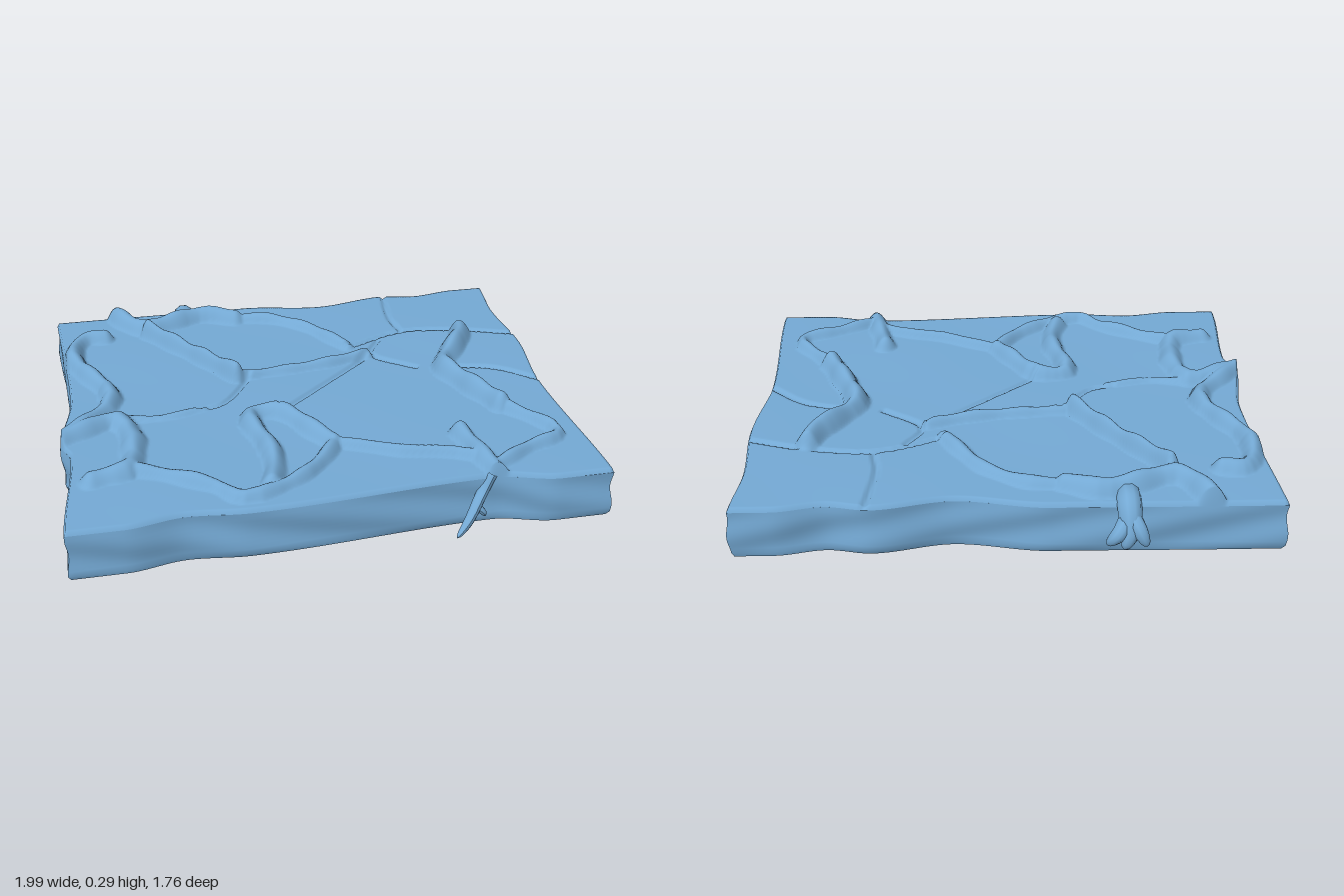
import * as THREE from 'three';

const mix = THREE.MathUtils.lerp;

// Wavy slab borders: [position along the side, offset]
const LEFT = [[-1, -.99], [-.1, -.945], [.22, -.99], [.32, -.955], [.8, -.99]];
const RIGHT = [[-.8, .985], [-.55, .965], [-.25, .985], [.12, .95], [.8, .985]];
const FRONT = [[-.8, .8], [-.58, .765], [-.35, .785], [.56, .735], [.8, .785]];
const BACK = [[-.8, -.79], [-.15, -.785], [.2, -.735], [.5, -.785], [.66, -.76], [.85, -.79]];

// Raised root ridges: half width, height and path of [x, z]
const RIDGES = [
  { width: .05, height: .055, path: [[-.72, -.78], [-.66, -.67], [-.6, -.63], [-.36, -.71], [-.2, -.67]] },
  { width: .035, height: .032, path: [[-.2, -.67], [-.05, -.64], [.08, -.55], [.23, -.32]] },
  { width: .035, height: .07, path: [[-.59, -.58], [-.47, -.42], [-.27, -.13]] },
  { width: .028, height: .033, path: [[-.27, -.13], [.12, -.18], [.3, -.23]] },
  { width: .05, height: .065, path: [[.74, -.36], [.72, -.28], [.59, -.08], [.61, .02], [.72, .28]] },
  { width: .033, height: .04, path: [[.72, .28], [.87, .52], [.72, .6], [.57, .69]] },
  { width: .028, height: .034, path: [[.57, .71], [.5, .61], [.25, .53], [.02, .42]] },
  { width: .045, height: .048, path: [[.02, .42], [-.03, .34], [-.15, .17], [-.26, .18], [-.22, .46], [-.25, .65]] },
  { width: .035, height: .037, path: [[.02, .43], [-.12, .61], [-.36, .72], [-.45, .63], [-.75, .46]] },
  { width: .05, height: .047, path: [[-.88, .51], [-.74, .46], [-.77, .12], [-.98, .21]] },
  { width: .044, height: .048, path: [[-.78, -.58], [-.87, -.57], [-.92, -.4], [-.78, -.05], [-.97, .2]] },
  { width: .045, height: .05, path: [[.5, .45], [.52, .55], [.56, .73]] },
  { width: .022, height: .018, path: [[-.77, .1], [-.6, .12], [-.43, .08]] },
];

// Narrow cracks between the stones
const CRACKS = [
  [[.22, -.31], [.5, -.42], [.75, -.39], [1, -.31]],
  [[.5, -.42], [.48, -.55], [.51, -.8]],
  [[.38, -.36], [.32, -.24], [.48, -.1]],
  [[.32, -.24], [-.14, .16]],
  [[.63, -.08], [.8, -.03], [.97, .12]],
  [[-.45, .08], [-.35, .05], [-.22, -.13]],
].map(path => ({ width: .014, height: .012, path }));

function border(points, t) {
  let i = 0;
  while (i < points.length - 2 && t > points[i + 1][0]) i++;
  const [a, va] = points[i], [b, vb] = points[i + 1];
  return mix(va, vb, THREE.MathUtils.smoothstep(t, a, b));
}

// Unit square (-1..1) stretched to the wavy outline
function toOutline(u, v) {
  return [
    mix(border(LEFT, v * .8), border(RIGHT, v * .8), (u + 1) / 2),
    mix(border(BACK, u), border(FRONT, u), (v + 1) / 2),
  ];
}

// Short straight pieces along the smoothed paths
function pieces(lines) {
  return lines.flatMap(({ width, height, path }) => {
    const curve = new THREE.CatmullRomCurve3(path.map(([x, z]) => new THREE.Vector3(x, 0, z)));
    const points = curve.getPoints((path.length - 1) * 4);
    return points.slice(1).map((b, i) => ({ a: points[i], b, width, height }));
  });
}

// Tallest rounded profile over all pieces
function profile(list, x, z, swell) {
  let best = 0;
  for (const { a, b, width, height } of list) {
    const dx = b.x - a.x, dz = b.z - a.z;
    const t = THREE.MathUtils.clamp(((x - a.x) * dx + (z - a.z) * dz) / (dx * dx + dz * dz), 0, 1);
    const d = Math.hypot(x - a.x - dx * t, z - a.z - dz * t) / (width * swell);
    if (d < 1) best = Math.max(best, height * swell * (1 - d * d) ** 1.2);
  }
  return best;
}

// Cobbled upper face with ridges and cracks, folded down at the rim
function makeTop() {
  const geo = new THREE.PlaneGeometry(2, 2, 230, 190).rotateX(-Math.PI / 2);
  const pos = geo.attributes.position, ridges = pieces(RIDGES), cracks = pieces(CRACKS);
  for (let i = 0; i < pos.count; i++) {
    const u = pos.getX(i), v = pos.getZ(i), [x, z] = toOutline(u, v);
    const swell = 1 + .18 * Math.sin(25 * x + 9 * z) * Math.sin(22 * z - 8 * x);
    let y = .207 + .003 * Math.sin(5 * x + 2) * Math.cos(6 * z);
    y += profile(ridges, x, z, swell) - profile(cracks, x, z, 1);
    if (Math.max(Math.abs(u), Math.abs(v)) > .9999) y = .19;
    pos.setXYZ(i, x, y, z);
  }
  geo.computeVertexNormals();
  return geo;
}

// Body with wavy, softly dented sides
function makeBody() {
  const geo = new THREE.BoxGeometry(2, 2, 2, 90, 10, 76), pos = geo.attributes.position;
  for (let i = 0; i < pos.count; i++) {
    const u = pos.getX(i), h = pos.getY(i), v = pos.getZ(i);
    let [x, z] = toOutline(u, v);
    const dent = .008 * (1 - h * h) * Math.sin(9 * (x + z) + 2.5 * h) - (h < -.99 ? .008 : 0);
    if (Math.abs(u) > .999) x += u * dent;
    if (Math.abs(v) > .999) z += v * dent;
    pos.setXYZ(i, x, mix(0, .19, (h + 1) / 2), z);
  }
  geo.computeVertexNormals();
  return geo;
}

// Root along a path, thinning to a point at its tip
function makeRoot(radius, points) {
  const path = new THREE.CatmullRomCurve3(points.map(p => new THREE.Vector3(...p)));
  const steps = 24, sides = 10;
  const geo = new THREE.TubeGeometry(path, steps, radius, sides), pos = geo.attributes.position;
  const centre = new THREE.Vector3(), p = new THREE.Vector3();
  for (let i = 0; i < pos.count; i++) {
    const t = Math.floor(i / (sides + 1)) / steps;
    path.getPointAt(t, centre);
    p.fromBufferAttribute(pos, i).sub(centre).multiplyScalar(Math.sqrt(1 - t ** 3)).add(centre);
    pos.setXYZ(i, p.x, p.y, p.z);
  }
  geo.computeVertexNormals();
  return geo;
}

export function createModel() {
  const model = new THREE.Group();
  model.name = 'stoneFloorTile';
  const stone = new THREE.MeshStandardMaterial({ color: 0x74a9d4 });
  stone.name = 'blue stone';
  const add = (name, geo) => {
    const mesh = new THREE.Mesh(geo, stone);
    mesh.name = name;
    model.add(mesh);
  };

  add('slabBody', makeBody());
  add('cobbledTop', makeTop());

  // Roots spilling over the back and front edges
  add('backRoot', makeRoot(.045, [[-.42, .2, -.7], [-.42, .2, -.78], [-.42, .12, -.84], [-.4, .06, -.86]]));
  add('backRootLeftFork', makeRoot(.03, [[-.42, .17, -.8], [-.38, .12, -.85], [-.34, .07, -.84]]));
  add('backRootRightFork', makeRoot(.03, [[-.42, .18, -.8], [-.45, .14, -.85], [-.48, .08, -.87]]));
  add('frontRoot', makeRoot(.022, [[.54, .2, .72], [.5, .13, .74], [.43, .075, .82], [.37, .05, .88]]));
  add('frontRootFork', makeRoot(.014, [[.47, .1, .77], [.5, .07, .77], [.51, .05, .765]]));

  return model;
}
